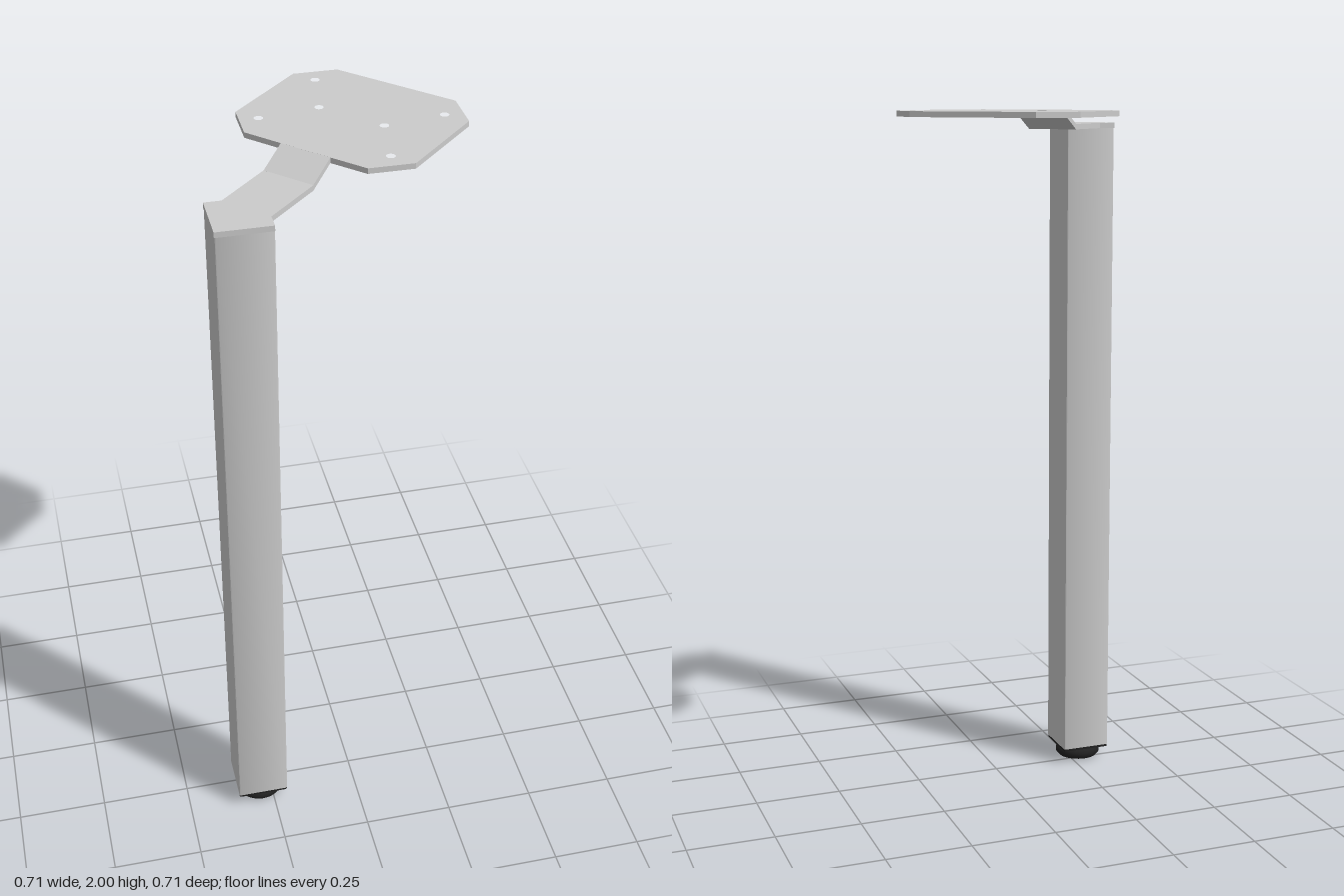
import * as THREE from 'three';
import { toCreasedNormals } from 'three/addons/utils/BufferGeometryUtils.js';

const steel = new THREE.MeshStandardMaterial({ color: 0xcccccc });
const rubber = new THREE.MeshStandardMaterial({ color: 0x222222 });

// Extrude a plan outline of [x, z] points upward from y0 to y1
function slab(name, outline, y0, y1, material, holes = [], holeRadius = 0.012) {
  const shape = new THREE.Shape(outline.map(([x, z]) => new THREE.Vector2(x, -z)));
  for (const [x, z] of holes) {
    shape.holes.push(new THREE.Path().absarc(x, -z, holeRadius, 0, Math.PI * 2, true));
  }
  const geo = new THREE.ExtrudeGeometry(shape, { depth: y1 - y0, bevelEnabled: false, curveSegments: 24 });
  geo.rotateX(-Math.PI / 2).translate(0, y0, 0);
  const mesh = new THREE.Mesh(toCreasedNormals(geo, 0.6), material);
  mesh.name = name;
  return mesh;
}

// Square plan outline with small rounded corners
function roundedSquare(cx, cz, half, r) {
  const points = [];
  for (let corner = 0; corner < 4; corner++) {
    const mid = Math.PI / 4 + corner * Math.PI / 2;
    const sx = Math.sign(Math.cos(mid)), sz = Math.sign(Math.sin(mid));
    for (let i = 0; i <= 4; i++) {
      const a = (corner + i / 4) * Math.PI / 2;
      points.push([cx + sx * (half - r) + r * Math.cos(a), cz + sz * (half - r) + r * Math.sin(a)]);
    }
  }
  return points;
}

export function createModel() {
  const group = new THREE.Group();
  group.name = 'tableLeg';
  const cx = -0.284, cz = 0.283, half = 0.0725;
  const thick = 0.015, armTop = 1.96;

  // Square tube with a dark plug closing its lower end
  group.add(slab('legTube', roundedSquare(cx, cz, half, 0.005), 0.047, armTop - thick, steel));
  group.add(slab('endPlug', roundedSquare(cx, cz, half - 0.001, 0.005), 0.04, 0.047, rubber));

  // Flat arm that also caps the tube
  group.add(slab('capAndArm', [
    [-0.357, 0.21], [-0.312, 0.21], [-0.185, 0.083], [-0.083, 0.185],
    [-0.212, 0.312], [-0.212, 0.356], [-0.357, 0.356],
  ], armTop - thick, armTop, steel));

  // Sloped step rising to the mounting plate
  const s0 = -0.1895, s1 = -0.112, width = 0.144;
  const profile = new THREE.Shape([
    new THREE.Vector2(s0, armTop - thick), new THREE.Vector2(s1, 2 - thick),
    new THREE.Vector2(s1, 2), new THREE.Vector2(s0, armTop),
  ]);
  const stepGeo = new THREE.ExtrudeGeometry(profile, { depth: width, bevelEnabled: false });
  stepGeo.translate(0, 0, -width / 2).rotateY(Math.PI / 4);
  const step = new THREE.Mesh(stepGeo, steel);
  step.name = 'armStep';
  group.add(step);

  // Mounting plate with screw holes
  group.add(slab('mountingPlate', [
    [-0.017, -0.357], [0.103, -0.357], [0.357, -0.104], [0.357, 0.016], [0.167, 0.205],
    [0.047, 0.205], [-0.028, 0.13], [-0.13, 0.028], [-0.207, -0.05], [-0.207, -0.168],
  ], 2 - thick, 2, steel, [
    [0.032, -0.308], [0.006, -0.146], [-0.157, -0.12],
    [0.143, -0.008], [0.307, -0.033], [0.117, 0.155],
  ]));

  // Rounded adjustable foot
  const footProfile = [
    [0, 0], [0.05, 0], [0.06, 0.004], [0.067, 0.012], [0.068, 0.022],
    [0.065, 0.031], [0.058, 0.036], [0.03, 0.037], [0.03, 0.042], [0, 0.042],
  ].map(([r, y]) => new THREE.Vector2(r, y));
  const foot = new THREE.Mesh(toCreasedNormals(new THREE.LatheGeometry(footProfile, 40), 0.8), rubber);
  foot.name = 'foot';
  foot.position.set(cx, 0, cz);
  group.add(foot);

  return group;
}
